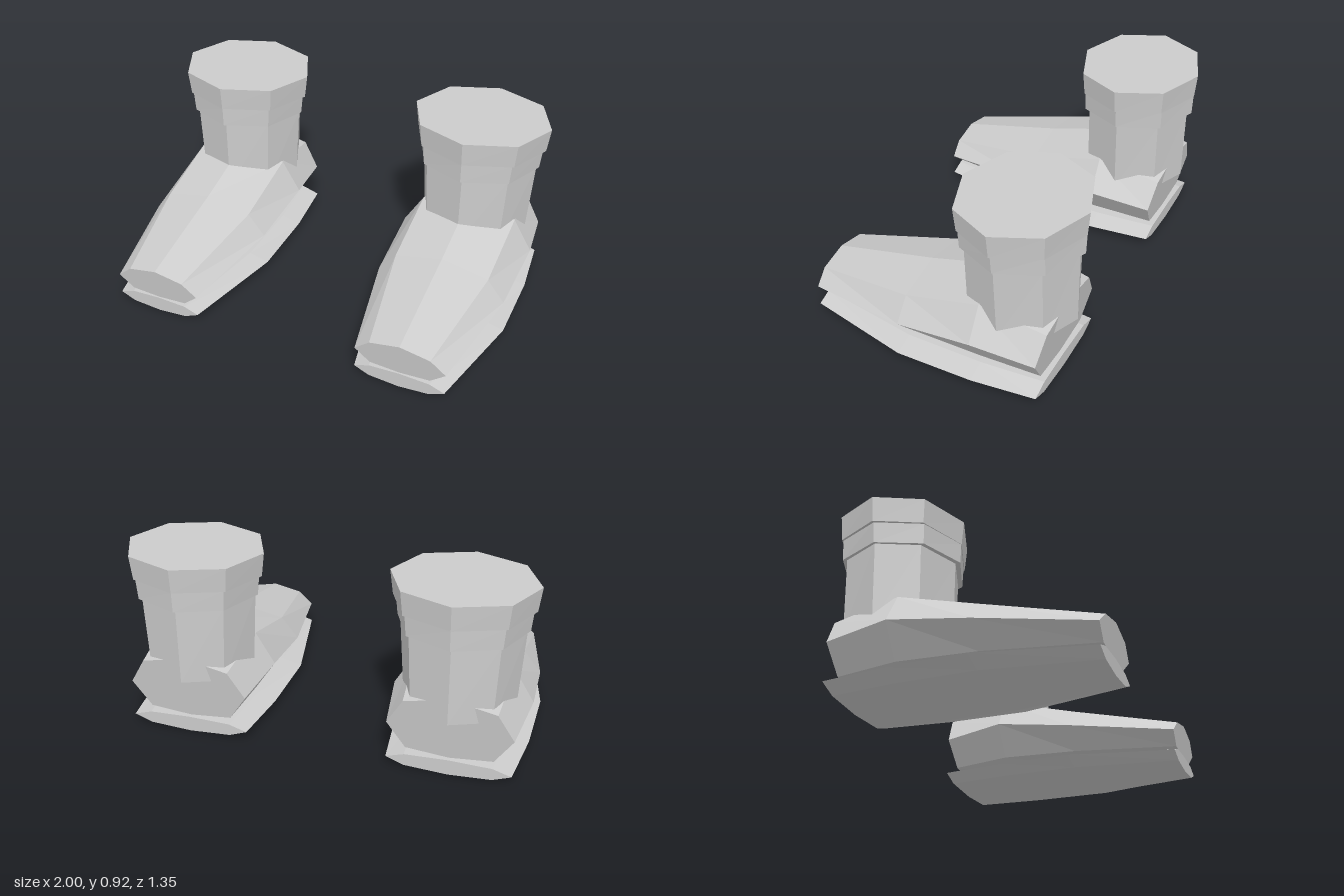
import * as THREE from 'three';

const material = new THREE.MeshStandardMaterial({ color: 0xcccccc, flatShading: true });

// Closed skin over rings of points; rings run counterclockwise about the loft direction
function loft(name, rings) {
  const n = rings[0].length;
  const position = rings.flat(2);
  const index = [];
  for (let r = 0; r < rings.length - 1; r++) {
    for (let i = 0; i < n; i++) {
      const a = r * n + i, b = r * n + (i + 1) % n;
      index.push(a, b, b + n, a, b + n, a + n);
    }
  }
  const last = (rings.length - 1) * n;
  for (let i = 1; i < n - 1; i++) {
    index.push(0, i + 1, i);
    index.push(last, last + i, last + i + 1);
  }
  const indexed = new THREE.BufferGeometry();
  indexed.setAttribute('position', new THREE.Float32BufferAttribute(position, 3));
  indexed.setIndex(index);
  const geometry = indexed.toNonIndexed();
  geometry.computeVertexNormals();
  const mesh = new THREE.Mesh(geometry, material);
  mesh.name = name;
  return mesh;
}

// Symmetric eight-point section: side, ridge, top, and the lower edge; lean tilts it in z
function section(z, lean, side, ridge, top, low, bottom) {
  const at = (x, y) => [x, y, z + lean * y];
  return [
    at(side[0], side[1]), at(ridge[0], ridge[1]), at(0, top), at(-ridge[0], ridge[1]),
    at(-side[0], side[1]), at(-low[0], low[1]), at(0, bottom), at(low[0], low[1]),
  ];
}

// Eight-sided horizontal ring with corners on the axes
function octagon(y, rx, rz) {
  return Array.from({ length: 8 }, (_, i) => {
    const t = i * Math.PI / 4;
    return [rx * Math.cos(t), y, -0.365 - rz * Math.sin(t)];
  });
}

function createBoot(name) {
  const boot = new THREE.Group();
  boot.name = name;

  // Foot, from heel to toe
  boot.add(loft('foot', [
    section(-0.543, -0.12, [0.30, 0.235], [0.22, 0.37], 0.42, [0.21, 0.10], 0.08),
    section(-0.26, 0, [0.34, 0.27], [0.243, 0.43], 0.485, [0.235, 0.115], 0.085),
    section(0.13, 0, [0.325, 0.215], [0.238, 0.325], 0.375, [0.225, 0.105], 0.083),
    section(0.647, 0.1, [0.225, 0.155], [0.15, 0.22], 0.25, [0.15, 0.09], 0.08),
  ]));

  // Thin sole plate: [z, side half-width, ridge half-width]
  const soleStations = [[-0.575, 0.30, 0.21], [-0.26, 0.335, 0.235], [0.13, 0.34, 0.235], [0.663, 0.225, 0.15]];
  boot.add(loft('sole', soleStations.map(([z, side, ridge]) =>
    section(z, 0, [side, 0.045], [ridge, 0.073], 0.08, [ridge, 0.012], 0))));

  // Leg shaft and the two stepped bands
  boot.add(loft('shaft', [octagon(0.31, 0.272, 0.27), octagon(0.70, 0.295, 0.27)]));
  boot.add(loft('lowerCuff', [octagon(0.70, 0.308, 0.295), octagon(0.80, 0.318, 0.297)]));
  boot.add(loft('upperCuff', [octagon(0.80, 0.332, 0.299), octagon(0.92, 0.347, 0.308)]));
  return boot;
}

export function createModel() {
  const model = new THREE.Group();
  model.name = 'boots';
  for (const [name, x] of [['leftBoot', 0.653], ['rightBoot', -0.653]]) {
    const boot = createBoot(name);
    boot.position.x = x;
    model.add(boot);
  }
  return model;
}
